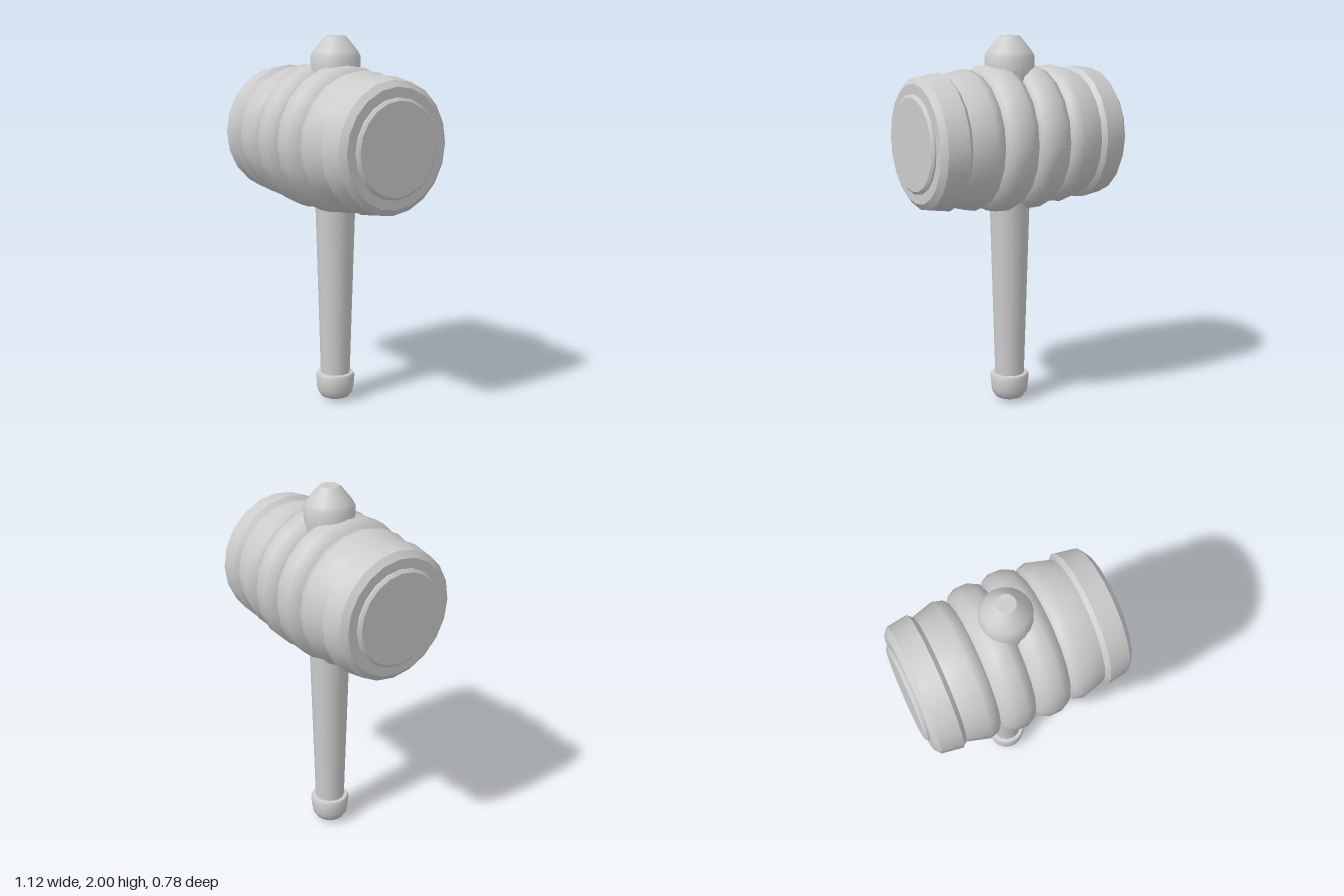
import * as THREE from 'three';
import { toCreasedNormals } from 'three/addons/utils/BufferGeometryUtils.js';

const HEAD_Y = 1.465, HANDLE_Z = -0.02;
const material = new THREE.MeshStandardMaterial({ color: 0xcccccc });

// Turned part from [radius, height] pairs, listed bottom to top
function turned(name, profile, sides, crease = 0.6) {
  const points = profile.map(([r, h]) => new THREE.Vector2(r, h));
  const mesh = new THREE.Mesh(toCreasedNormals(new THREE.LatheGeometry(points, sides), crease), material);
  mesh.name = name;
  return mesh;
}

export function createModel() {
  const model = new THREE.Group();
  model.name = 'mallet';

  // Head: turned along x, built from the middle out on both sides
  const head = new THREE.Group();
  head.name = 'head';
  head.position.y = HEAD_Y;
  for (const side of [1, -1]) {
    const half = new THREE.Group();
    half.name = side > 0 ? 'leftHalf' : 'rightHalf';
    half.rotation.z = -side * Math.PI / 2;
    half.add(
      turned('rib', [[0.335, 0], [0.368, 0.017], [0.39, 0.06], [0.388, 0.13], [0.365, 0.172], [0.328, 0.193]], 20, 0.8),
      turned('barrel', [[0.328, 0.188], [0.358, 0.207], [0.372, 0.257], [0.338, 0.378]], 20, 0.8),
      turned('endBand', [[0.3, 0.377], [0.338, 0.377], [0.36, 0.4], [0.343, 0.513], [0.31, 0.54], [0.22, 0.54]], 20, 0.45),
      turned('strikingFace', [[0.258, 0.53], [0.258, 0.548], [0.243, 0.56], [0, 0.56]], 20, 0.6),
    );
    head.add(half);
  }
  model.add(head);

  // Handle, running up through the head
  const handle = new THREE.Group();
  handle.name = 'handle';
  handle.position.z = HANDLE_Z;
  handle.add(
    turned('shaft', [[0.08, 0.14], [0.108, 1.12], [0.112, 1.25], [0.112, 1.8]], 20),
    turned('pommel', [[0, 0], [0.045, 0.004], [0.078, 0.018], [0.096, 0.045], [0.101, 0.07],
      [0.107, 0.135], [0.1, 0.15], [0.078, 0.153]], 20, 0.7),
    turned('topCap', [[0.112, 1.74], [0.132, 1.77], [0.132, 1.895], [0.118, 1.92], [0.066, 1.985],
      [0.05, 2], [0, 2]], 20, 0.6),
  );
  model.add(handle);
  return model;
}
